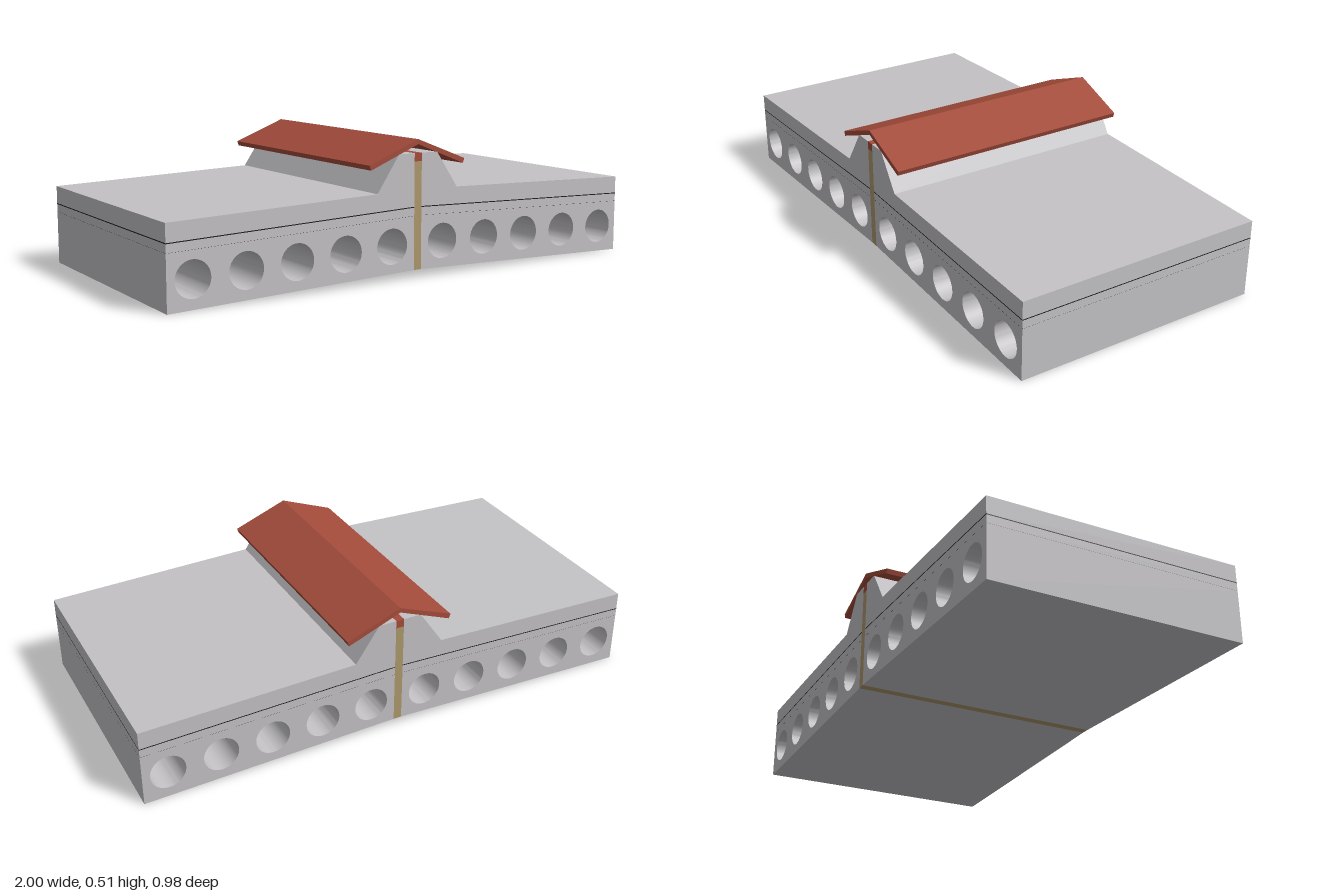
import * as THREE from 'three';
import { toCreasedNormals } from 'three/addons/utils/BufferGeometryUtils.js';

const DEPTH = 0.98;

export function createModel() {
  const group = new THREE.Group();
  const material = (name, color) => {
    const m = new THREE.MeshStandardMaterial({ color });
    m.name = name;
    return m;
  };
  const concrete = material('concrete grey', 0xc4c2c5);
  const clay = material('roof red', 0xa44c3b);
  const filler = material('joint tan', 0xae996c);
  const film = material('membrane black', 0x1c1c1c);

  // Extrudes an x/y profile along the full depth, centred on z
  const addProfile = (name, points, mat, holes = []) => {
    const outline = points.map(([x, y]) => new THREE.Vector2(x, y));
    // Counter-clockwise outline, so the walls of the holes face inwards
    if (THREE.ShapeUtils.isClockWise(outline)) outline.reverse();
    const shape = new THREE.Shape(outline);
    for (const [x, y, r] of holes) {
      const hole = new THREE.Path();
      hole.absarc(x, y, r, 0, Math.PI * 2, true);
      shape.holes.push(hole);
    }
    const geo = new THREE.ExtrudeGeometry(shape, { depth: DEPTH, bevelEnabled: false, curveSegments: 24 });
    geo.translate(0, 0, -DEPTH / 2);
    const mesh = new THREE.Mesh(toCreasedNormals(geo, 0.5), mat);
    mesh.name = name;
    group.add(mesh);
  };

  const gap = 0.016; // half width of the expansion joint
  const rise = 0.031; // fall of every layer from the joint to the outer edge

  for (const [side, s] of [['left', 1], ['right', -1]]) {
    // A sloping layer between two heights, given at the outer edge
    const addLayer = (name, y0, y1, mat, holes) => addProfile(side + name,
      [[s * gap, y0 + rise], [s, y0], [s, y1], [s * gap, y1 + rise]], mat, holes);

    // Hollow-core slab, falling slightly away from the joint
    const cores = [0, 1, 2, 3, 4].map((i) => {
      const x = 0.113 + i * 0.198;
      return [s * x, 0.131 - 0.028 * x, 0.066];
    });
    addLayer('HollowSlab', 0, 0.2, concrete, cores);

    // Thin sheet, levelling bed and waterproof membrane
    addLayer('SeparatingSheet', 0.2, 0.2005, film);
    addLayer('LevellingBed', 0.2005, 0.2305, concrete);
    addLayer('Membrane', 0.2305, 0.234, film);

    // Topping with upstand curb beside the joint
    addProfile(`${side}ToppingAndCurb`,
      [[s * gap, 0.234 + rise], [s, 0.234], [s, 0.3], [s * 0.178, 0.324], [s * 0.085, 0.46], [s * gap, 0.46]],
      concrete);
  }

  // Joint filler and the seal over it
  addProfile('jointFiller', [[-gap, rise], [gap, rise], [gap, 0.43], [-gap, 0.43]], filler);
  addProfile('jointSeal', [[-gap, 0.43], [gap, 0.43], [gap, 0.46], [-gap, 0.46]], clay);

  // Folded cap over the curb
  addProfile('ridgeCap',
    [[0, 0.51], [-0.212, 0.428], [-0.206, 0.41], [0, 0.492], [0.206, 0.41], [0.212, 0.428]], clay);

  return group;
}
